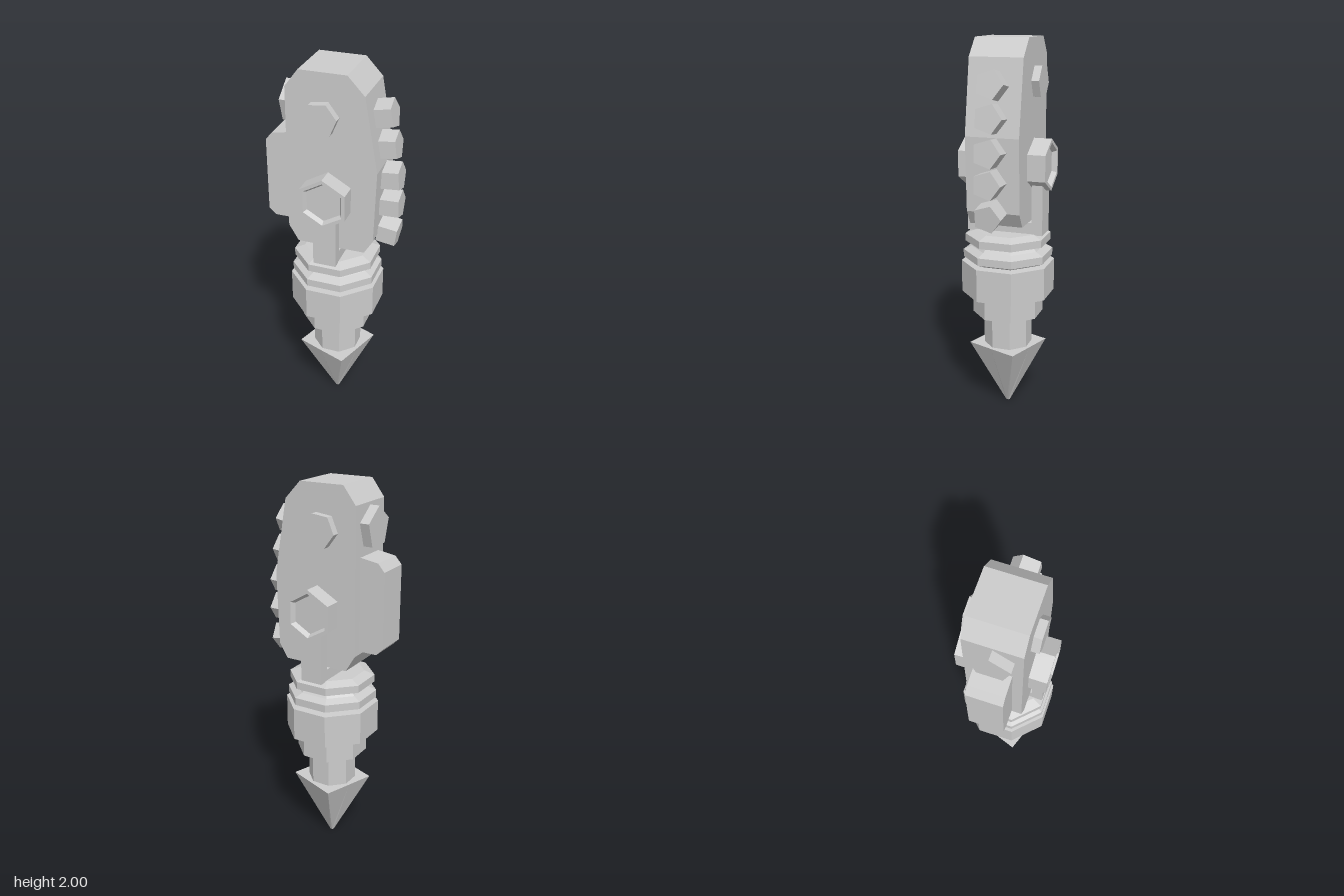
import * as THREE from 'three';

const material = new THREE.MeshStandardMaterial({ color: 0xcccccc, flatShading: true });

export function createModel() {
  const model = new THREE.Group();

  const add = (name, geometry, x = 0, y = 0, z = 0) => {
    const mesh = new THREE.Mesh(geometry, material);
    mesh.name = name;
    mesh.position.set(x, y, z);
    model.add(mesh);
    return mesh;
  };
  const points = (list) => list.map(([x, y]) => new THREE.Vector2(x, y));
  // Outline in the front plane, given depth, centred on z = 0
  const slab = (outline, depth) =>
    new THREE.ExtrudeGeometry(new THREE.Shape(points(outline)), { depth, bevelEnabled: false })
      .translate(0, 0, -depth / 2);

  // Main body
  add('body', slab([
    [-0.165, 1.075], [0.19, 1.075], [0.235, 1.15], [0.247, 1.53], [0.18, 1.91],
    [0.095, 2], [-0.145, 2], [-0.213, 1.91], [-0.215, 1.16],
  ], 0.28));

  // Pack on the side of the body
  add('sidePack', slab([
    [-0.31, 1.175], [-0.19, 1.175], [-0.19, 1.66], [-0.31, 1.64], [-0.345, 1.6], [-0.345, 1.21],
  ], 0.18));

  // Five-sided knob above the pack
  const knob = new THREE.CylinderGeometry(0.105, 0.105, 0.082, 5, 1, false, Math.PI / 10);
  add('sideKnob', knob.rotateZ(Math.PI / 2), -0.221, 1.79, 0);

  // Six-sided bolt through the upper body
  const bolt = new THREE.CylinderGeometry(0.088, 0.088, 0.36, 6, 1, false, 0.645);
  add('upperBolt', bolt.rotateX(Math.PI / 2), -0.03, 1.78, 0);

  // Pivot with a recessed face at each end
  const pivot = new THREE.LatheGeometry(points([
    [0, -0.21], [0.1, -0.21], [0.115, -0.235], [0.135, -0.235],
    [0.135, 0.232], [0.115, 0.232], [0.1, 0.21], [0, 0.21],
  ]), 6);
  add('pivot', pivot.rotateX(Math.PI / 2), 0, 1.365, 0);

  // Fork that carries the pivot
  for (const side of [-1, 1]) {
    add('forkArm', new THREE.BoxGeometry(0.12, 0.3, 0.058), 0, 1.15, side * 0.177);
  }
  add('forkBase', new THREE.BoxGeometry(0.12, 0.065, 0.41), 0, 1.032, 0);

  // Row of studs following the curved edge: x and y of the outer face, tilt in degrees
  const studs = [
    [0.287, 1.79, 11], [0.312, 1.63, 7], [0.333, 1.465, 5], [0.338, 1.31, 2], [0.33, 1.14, -8],
  ];
  const studLength = 0.1;
  for (const [x, y, degrees] of studs) {
    const tilt = THREE.MathUtils.degToRad(degrees);
    const stud = add('stud',
      new THREE.CylinderGeometry(0.075, 0.075, studLength, 5, 1, false, Math.PI / 5),
      x - Math.cos(tilt) * studLength / 2, y - Math.sin(tilt) * studLength / 2, 0);
    stud.rotation.z = tilt - Math.PI / 2;
  }

  // Eight-sided shaft, collars and ribbed neck; radii are measured to the flats
  const toCorner = 1 / Math.cos(Math.PI / 8);
  const neck = [
    [0, 0.355], [0.12, 0.355], [0.12, 0.54], [0.175, 0.54], [0.175, 0.66], [0.23, 0.66],
    [0.23, 0.835], [0.18, 0.838], [0.22, 0.857], [0.22, 0.897], [0.18, 0.915],
    [0.165, 0.932], [0.21, 0.945], [0.21, 0.985], [0.16, 1.005], [0, 1.005],
  ].map(([r, y]) => [r * toCorner, y]);
  add('neck', new THREE.LatheGeometry(points(neck), 8, Math.PI / 8));

  // Pointed tip: every second rim corner is pulled in to make the rim square
  const turn = 0.44;
  const tip = new THREE.CylinderGeometry(0.21, 0.012, 0.36, 8, 1, false, turn);
  const p = tip.attributes.position;
  for (let i = 0; i < p.count; i++) {
    const step = Math.round((Math.atan2(p.getX(i), p.getZ(i)) - turn) / (Math.PI / 4));
    if (p.getY(i) > 0 && step % 2 !== 0) p.setXYZ(i, p.getX(i) * 0.71, p.getY(i), p.getZ(i) * 0.71);
  }
  tip.computeVertexNormals();
  add('tip', tip, 0, 0.18, 0);

  return model;
}
